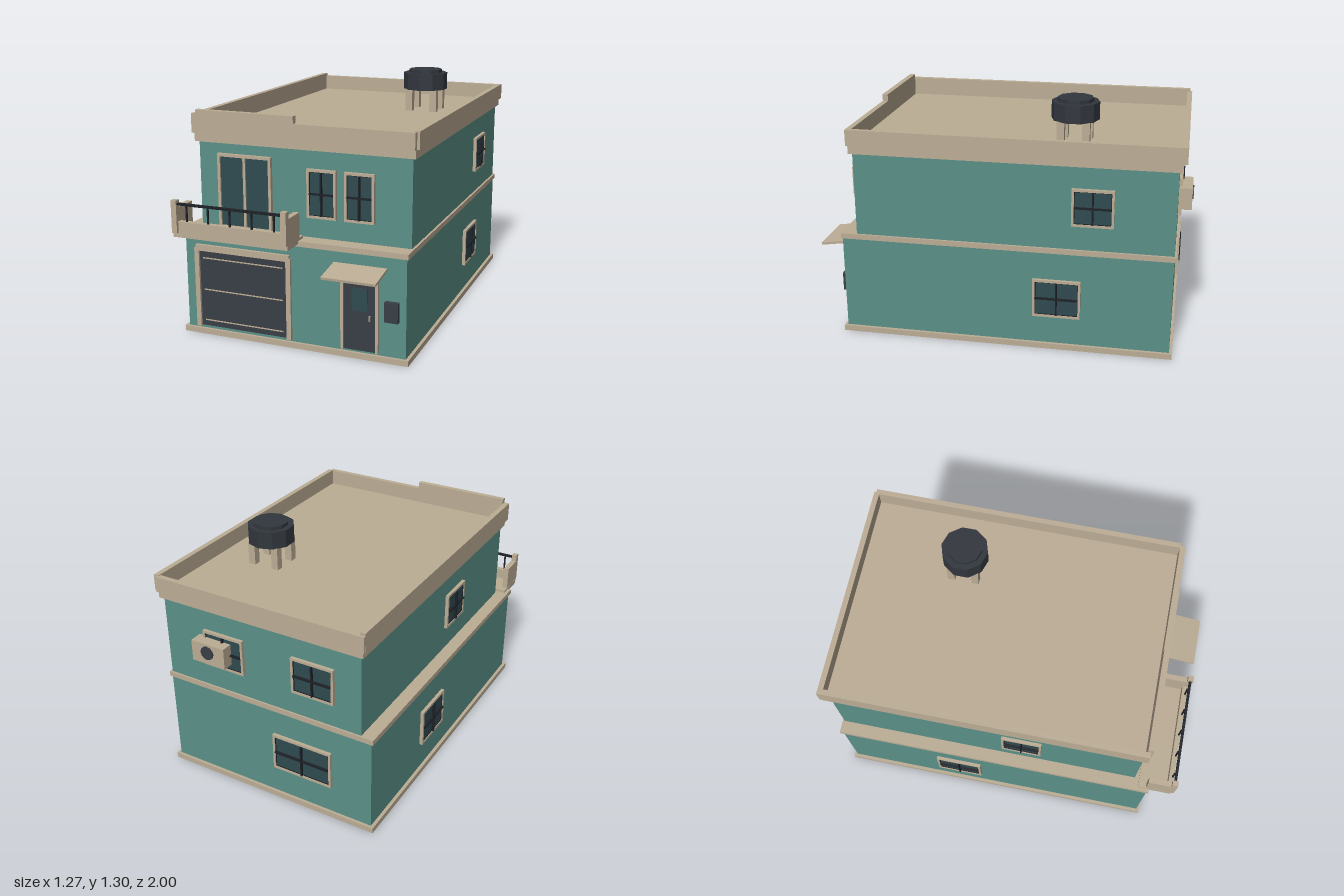
import * as THREE from 'three';

const mat = (color) => new THREE.MeshStandardMaterial({ color, flatShading: true });

export function createModel() {
  const house = new THREE.Group();
  house.name = 'house';
  const teal = mat(0x5b9088), tan = mat(0xbcad95), dark = mat(0x393e46);
  const glass = mat(0x2f4a50), black = mat(0x1d2126), tankGrey = mat(0x32373e);

  const add = (name, geo, material, parent = house) => {
    const mesh = new THREE.Mesh(geo, material);
    mesh.name = name;
    parent.add(mesh);
    return mesh;
  };

  // Box given by its extents along each axis
  const box = (name, material, [x0, x1], [y0, y1], [z0, z1], parent = house) => {
    const mesh = add(name, new THREE.BoxGeometry(x1 - x0, y1 - y0, z1 - z0), material, parent);
    mesh.position.set((x0 + x1) / 2, (y0 + y1) / 2, (z0 + z1) / 2);
    return mesh;
  };

  // Rectangular frame lying against z = 0, facing +z
  const frame = (w, h, t, depth) => {
    const rect = (Type, a, b) => new Type([[-a, -b], [a, -b], [a, b], [-a, b]].map(p => new THREE.Vector2(...p)));
    const shape = rect(THREE.Shape, w / 2, h / 2);
    shape.holes.push(rect(THREE.Path, w / 2 - t, h / 2 - t));
    return new THREE.ExtrudeGeometry(shape, { depth, bevelEnabled: false });
  };

  // Window with glass, frame and crossing bars
  const addWindow = (name, w, h, [x, y, z], turn = 0) => {
    const g = new THREE.Group();
    g.name = name;
    add('windowFrame', frame(w, h, 0.013, 0.018), tan, g);
    const a = w / 2 - 0.013, b = h / 2 - 0.013;
    box('pane', glass, [-a, a], [-b, b], [-0.005, 0.01], g);
    box('verticalBar', black, [-0.004, 0.004], [-b, b], [0, 0.024], g);
    box('horizontalBar', black, [-a, a], [-0.004, 0.004], [0, 0.024], g);
    for (const s of [-1, 1]) {
      box('paneEdge', black, [s * a - 0.003, s * a + 0.003], [-b, b], [0, 0.014], g);
      box('paneEdge', black, [-a, a], [s * b - 0.003, s * b + 0.003], [0, 0.014], g);
    }
    g.position.set(x, y, z);
    g.rotation.y = turn;
    house.add(g);
  };

  // Main volumes and the bands between them
  box('base', tan, [-0.63, 0.62], [0, 0.03], [-0.935, 0.85]);
  box('groundFloor', teal, [-0.612, 0.603], [0.03, 0.545], [-0.92, 0.835]);
  box('floorBand', tan, [-0.625, 0.612], [0.545, 0.573], [-0.93, 0.842]);
  box('upperFloor', teal, [-0.555, 0.6], [0.573, 1.022], [-0.92, 0.755]);
  box('roofSlab', tan, [-0.573, 0.618], [1.022, 1.064], [-0.937, 0.772]);

  // Parapet
  box('leftParapet', tan, [-0.59, -0.56], [1.064, 1.166], [-0.945, 0.772]);
  box('rightParapet', tan, [0.602, 0.631], [1.064, 1.153], [-0.945, 0.755]);
  box('backParapet', tan, [-0.588, 0.615], [1.064, 1.15], [-0.957, -0.928]);
  box('frontParapet', tan, [-0.01, 0.617], [1.064, 1.15], [0.754, 0.784]);
  box('raisedFrontParapet', tan, [-0.556, -0.01], [1.064, 1.188], [0.754, 0.785]);

  // Water tank on four legs
  const tank = new THREE.Group();
  tank.name = 'waterTank';
  tank.position.set(0.307, 0, -0.368);
  house.add(tank);
  add('tankBody', new THREE.CylinderGeometry(0.126, 0.126, 0.094, 10), tankGrey, tank).position.y = 1.235;
  add('tankLid', new THREE.CylinderGeometry(0.095, 0.095, 0.02, 10), tankGrey, tank).position.y = 1.291;
  for (const sx of [-0.072, 0.072]) for (const sz of [-0.066, 0.066])
    box('tankLeg', tan, [sx - 0.02, sx + 0.02], [1.064, 1.19], [sz - 0.02, sz + 0.02], tank);

  // Garage door with surround
  box('garageDoor', dark, [-0.53, -0.035], [0.045, 0.462], [0.83, 0.839]);
  for (const x of [-0.557, -0.034]) box('garageJamb', tan, [x, x + 0.026], [0.04, 0.475], [0.83, 0.85]);
  box('garageLintel', tan, [-0.548, -0.015], [0.46, 0.493], [0.83, 0.852]);
  for (const y of [0.077, 0.247, 0.42]) box('garageGroove', tan, [-0.51, -0.055], [y - 0.003, y + 0.003], [0.835, 0.842]);

  // Entrance door, canopy and letter box
  box('entranceDoor', dark, [0.278, 0.448], [0.042, 0.43], [0.83, 0.842]);
  for (const x of [0.263, 0.447]) box('doorJamb', tan, [x, x + 0.015], [0.04, 0.432], [0.83, 0.85]);
  box('doorLintel', tan, [0.263, 0.462], [0.43, 0.45], [0.83, 0.85]);
  box('doorPane', glass, [0.322, 0.403], [0.25, 0.37], [0.835, 0.846]);
  box('doorHandle', tan, [0.414, 0.421], [0.207, 0.235], [0.84, 0.856]);
  const canopy = add('canopy', new THREE.BoxGeometry(0.28, 0.013, 0.17), tan);
  canopy.position.set(0.363, 0.469, 0.916);
  canopy.rotation.x = 0.15;
  box('letterBox', dark, [0.498, 0.568], [0.22, 0.322], [0.833, 0.862]);

  // Sliding balcony door
  const slider = new THREE.Group();
  slider.name = 'balconyDoor';
  slider.position.set(-0.294, 0.771, 0.755);
  house.add(slider);
  add('sliderFrame', frame(0.302, 0.394, 0.015, 0.02), tan, slider);
  box('sliderGlass', glass, [-0.137, 0.137], [-0.183, 0.183], [-0.005, 0.01], slider);
  box('sliderMullion', tan, [-0.007, 0.007], [-0.183, 0.183], [0, 0.018], slider);

  // Balcony: floor, front wall, stepped side walls and railing
  box('balconyFloor', tan, [-0.605, 0.035], [0.559, 0.586], [0.78, 0.963]);
  box('balconyFrontWall', tan, [-0.574, 0.006], [0.586, 0.643], [0.935, 0.963]);
  const side = new THREE.Shape([[0.823, 0.584], [0.978, 0.584], [0.978, 0.755], [0.947, 0.755],
    [0.947, 0.717], [0.823, 0.717]].map(p => new THREE.Vector2(...p)));
  for (const x of [-0.574, 0.035]) {
    const wall = add('balconySideWall', new THREE.ExtrudeGeometry(side, { depth: 0.03, bevelEnabled: false }), tan);
    wall.rotation.y = -Math.PI / 2;
    wall.position.x = x;
  }
  box('handrail', black, [-0.574, 0.006], [0.729, 0.741], [0.955, 0.969]);
  for (let i = 0; i < 5; i++) {
    const x = -0.528 + i * 0.122;
    box('baluster', black, [x - 0.004, x + 0.004], [0.64, 0.732], [0.95, 0.958]);
  }

  // Windows on every side
  const q = Math.PI / 2;
  addWindow('frontWindow', 0.157, 0.25, [0.131, 0.803, 0.755]);
  addWindow('frontWindow', 0.157, 0.25, [0.332, 0.803, 0.755]);
  addWindow('upperRightWindow', 0.217, 0.2, [0.6, 0.805, -0.502], q);
  addWindow('lowerRightWindow', 0.253, 0.21, [0.603, 0.291, -0.324], q);
  addWindow('upperLeftWindow', 0.217, 0.2, [-0.555, 0.805, 0.11], -q);
  addWindow('lowerLeftWindow', 0.258, 0.21, [-0.612, 0.291, -0.25], -q);
  addWindow('upperBackWindow', 0.24, 0.2, [0.235, 0.805, -0.92], 2 * q);
  addWindow('upperBackWindow', 0.24, 0.2, [-0.29, 0.805, -0.92], 2 * q);
  addWindow('lowerBackWindow', 0.345, 0.21, [-0.215, 0.297, -0.92], 2 * q);

  // Air conditioner on the back wall
  box('airConditioner', tan, [0.19, 0.388], [0.75, 0.866], [-0.99, -0.92]);
  const fan = add('fanGrille', new THREE.CylinderGeometry(0.038, 0.038, 0.01, 12), dark);
  fan.rotation.x = q;
  fan.position.set(0.292, 0.817, -0.991);

  return house;
}
